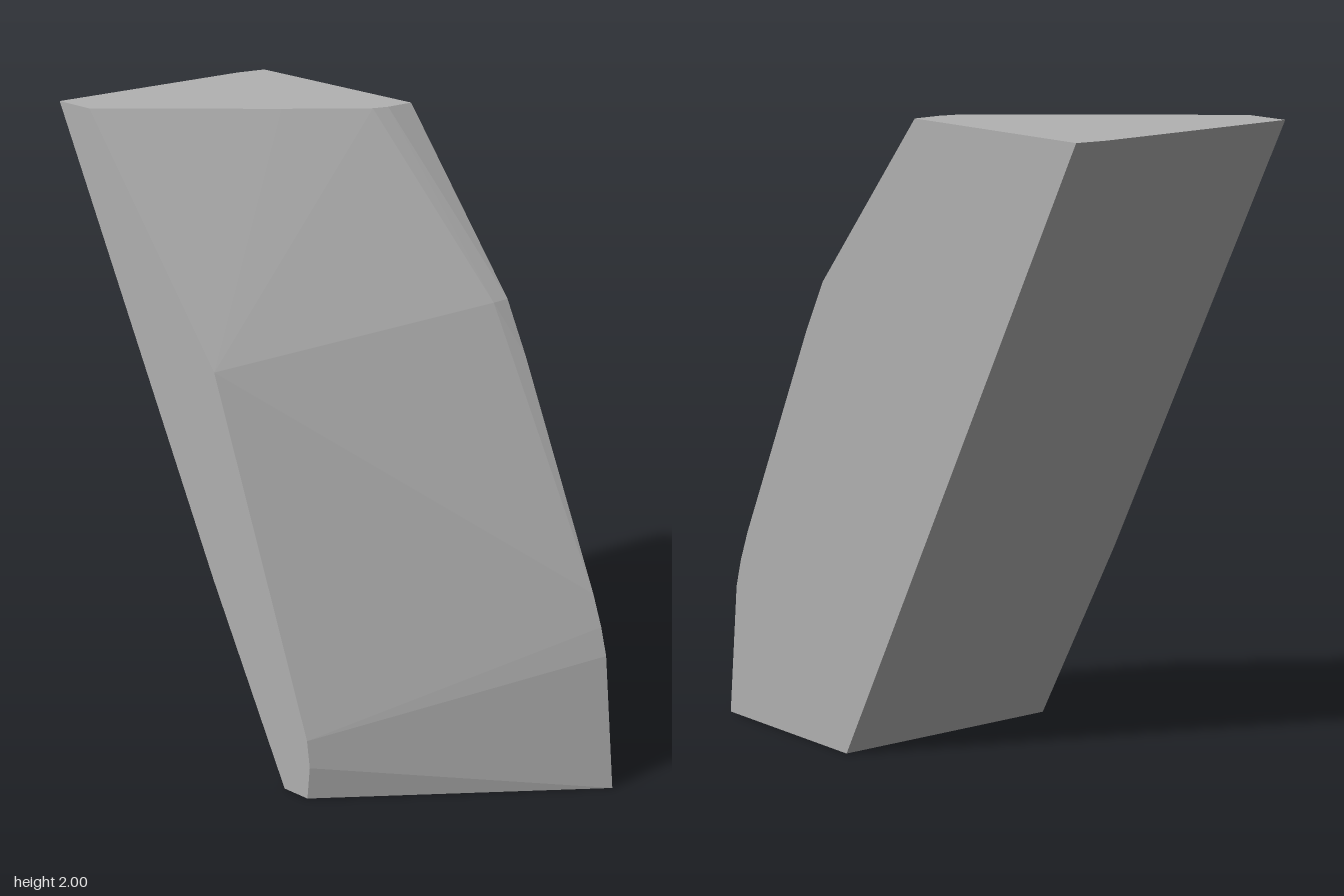
import * as THREE from 'three';
import { ConvexGeometry } from 'three/addons/geometries/ConvexGeometry.js';

const HALF = 0.315; // half width between the two flat sides

// Turns [y, z] pairs into points on the plane at x
const edge = (x, pairs) => pairs.map(([y, z]) => new THREE.Vector3(x, y, z));

export function createModel() {
  const group = new THREE.Group();
  group.name = 'leaningShard';
  const stone = new THREE.MeshStandardMaterial({ color: 0xb2b2b2 });
  stone.name = 'grey';

  const points = [
    // wide side: curved front edge, straight back edge
    ...edge(HALF, [[2, 0], [1.48, 0.36], [1.32, 0.43], [0.63, 0.7], [0.53, 0.733], [0.44, 0.755], [0, 0.8]]),
    ...edge(HALF, [[2, -0.56], [0, 0.3]]),
    // narrow side: front edge, then back edge
    ...edge(-HALF, [[2, -0.68], [1.3, -0.22], [0.2, 0.12], [0.11, 0.13], [0, 0.12]]),
    ...edge(-HALF, [[2, -0.8], [0.62, -0.24], [0, 0.03]]),
    // rounded corners of the top face
    ...[[0.03, -0.25], [0.2, -0.05], [0.24, -0.025], [0.24, -0.6]].map(([x, z]) => new THREE.Vector3(x, 2, z)),
    // slight ridge on the front
    new THREE.Vector3(0.275, 1.475, 0.34),
  ];

  // Flat-faced solid wrapped around the edges
  const shard = new THREE.Mesh(new ConvexGeometry(points), stone);
  shard.name = 'shard';
  group.add(shard);
  return group;
}
